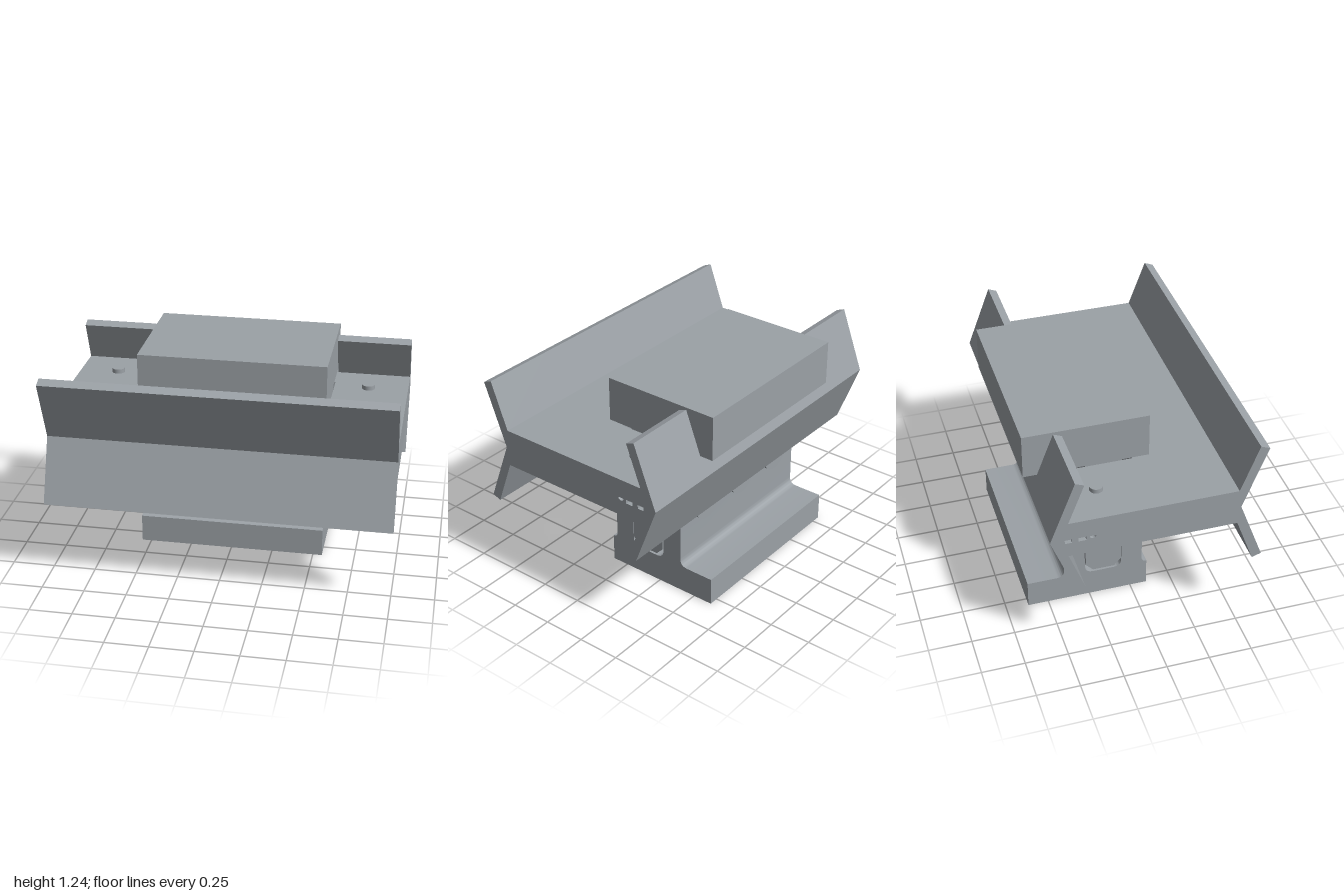
import * as THREE from 'three';
import { toCreasedNormals } from 'three/addons/utils/BufferGeometryUtils.js';

const steel = new THREE.MeshStandardMaterial({ color: 0x9ba1a6 });
steel.name = 'grey steel';

// Side outline from [z, y] points; a four-number point is a fillet: [cornerZ, cornerY, endZ, endY]
function outline(points) {
  const s = new THREE.Shape();
  points.forEach((p, i) => {
    if (i === 0) s.moveTo(-p[0], p[1]);
    else if (p.length === 4) s.quadraticCurveTo(-p[0], p[1], -p[2], p[3]);
    else s.lineTo(-p[0], p[1]);
  });
  s.closePath();
  return s;
}

// Sweep a side outline along x between x0 and x1
function sweep(name, shape, x0, x1) {
  const g = new THREE.ExtrudeGeometry(shape, { depth: x1 - x0, bevelEnabled: false, curveSegments: 12 });
  g.rotateY(Math.PI / 2).translate(x0, 0, 0);
  const m = new THREE.Mesh(toCreasedNormals(g, 0.5), steel);
  m.name = name;
  return m;
}

function cylinder(name, r, length, x, y, z, alongZ = false) {
  const g = new THREE.CylinderGeometry(r, r, length, 48);
  if (alongZ) g.rotateX(Math.PI / 2);
  const m = new THREE.Mesh(g, steel);
  m.name = name;
  m.position.set(x, y, z);
  return m;
}

// Small openings running lengthwise through the web
function addWireHoles(shape) {
  const half = new THREE.Path();
  half.moveTo(0.335, 0.845);
  half.absarc(0.352, 0.845, 0.018, Math.PI, Math.PI * 2, false);
  half.closePath();
  shape.holes.push(half);
  for (const [a, b] of [[0.388, 0.432], [0.467, 0.507]]) {
    const r = new THREE.Path();
    r.moveTo(a, 0.823).lineTo(b, 0.823).lineTo(b, 0.846).lineTo(a, 0.846).closePath();
    shape.holes.push(r);
  }
  return shape;
}

export function createModel() {
  const group = new THREE.Group();
  const halfWidth = 0.555, slotX = 0.562;

  // Beam: flat web with an outward V flange in front and an arrow flange behind
  const frontFlange = [[0.467, 0.733], [0.57, 0.457], [0.623, 0.475], [0.483, 0.845],
    [0.623, 1.213], [0.57, 1.235], [0.467, 0.957]];
  const backLower = [[-0.587, 0.845], [-0.447, 0.477], [-0.397, 0.493], [-0.487, 0.733]];
  const backUpper = [[-0.487, 0.957], [-0.397, 1.195], [-0.447, 1.215]];
  const beam = new THREE.Group();
  beam.name = 'beam';
  for (const [a, b] of [[-1, -slotX], [slotX, 1]]) {
    beam.add(sweep('beamEnd', addWireHoles(outline([...frontFlange, ...backUpper, ...backLower])), a, b));
  }
  // Middle of the beam, split by the slot and notched under the top block
  beam.add(sweep('beamMiddleFront', outline([...frontFlange, [0, 0.957], [0, 0.733]]), -slotX, slotX));
  beam.add(sweep('beamMiddleBack', addWireHoles(outline(
    [[-0.33, 0.733], [-0.33, 0.957], [-0.544, 0.957], ...backLower])), -slotX, slotX));
  group.add(beam);

  // Top block with the tongue that drops through the beam
  group.add(sweep('topBlockAndTongue', outline([
    [0.1, 0.957], [0.1, 1.223], [-0.62, 1.223], [-0.62, 0.957], [-0.27, 0.957],
    [-0.27, 0.225], [-0.227, 0.18], [-0.1, 0.18], [-0.057, 0.225], [-0.057, 0.957],
  ]), -halfWidth, halfWidth));

  // Forked base with filleted foot and a rounded channel for the tongue
  group.add(sweep('forkedBase', outline([
    [0.1, 0], [0.1, 0.167], [0.07, 0.167, 0.07, 0.197], [0.07, 0.735], [-0.005, 0.735],
    [-0.055, 0.685], [-0.055, 0.217], [-0.055, 0.167, -0.105, 0.167],
    [-0.225, 0.167], [-0.276, 0.167, -0.276, 0.217], [-0.276, 0.685], [-0.326, 0.735],
    [-0.4, 0.735], [-0.4, 0.217], [-0.4, 0.167, -0.45, 0.167], [-0.62, 0.167], [-0.62, 0],
  ]), -halfWidth, halfWidth));

  // Cross pins through fork and tongue
  for (const x of [-0.335, 0, 0.335]) {
    group.add(cylinder('crossPin', 0.111, 0.527, x, 0.512, -0.1635, true));
  }

  // Bolts through the web
  for (const x of [-0.765, 0.765]) {
    group.add(cylinder('boltHead', 0.038, 0.026, x, 0.97, -0.267));
    group.add(cylinder('boltNut', 0.038, 0.036, x, 0.715, -0.267));
    group.add(cylinder('boltTip', 0.02, 0.008, x, 0.693, -0.267));
  }
  return group;
}
